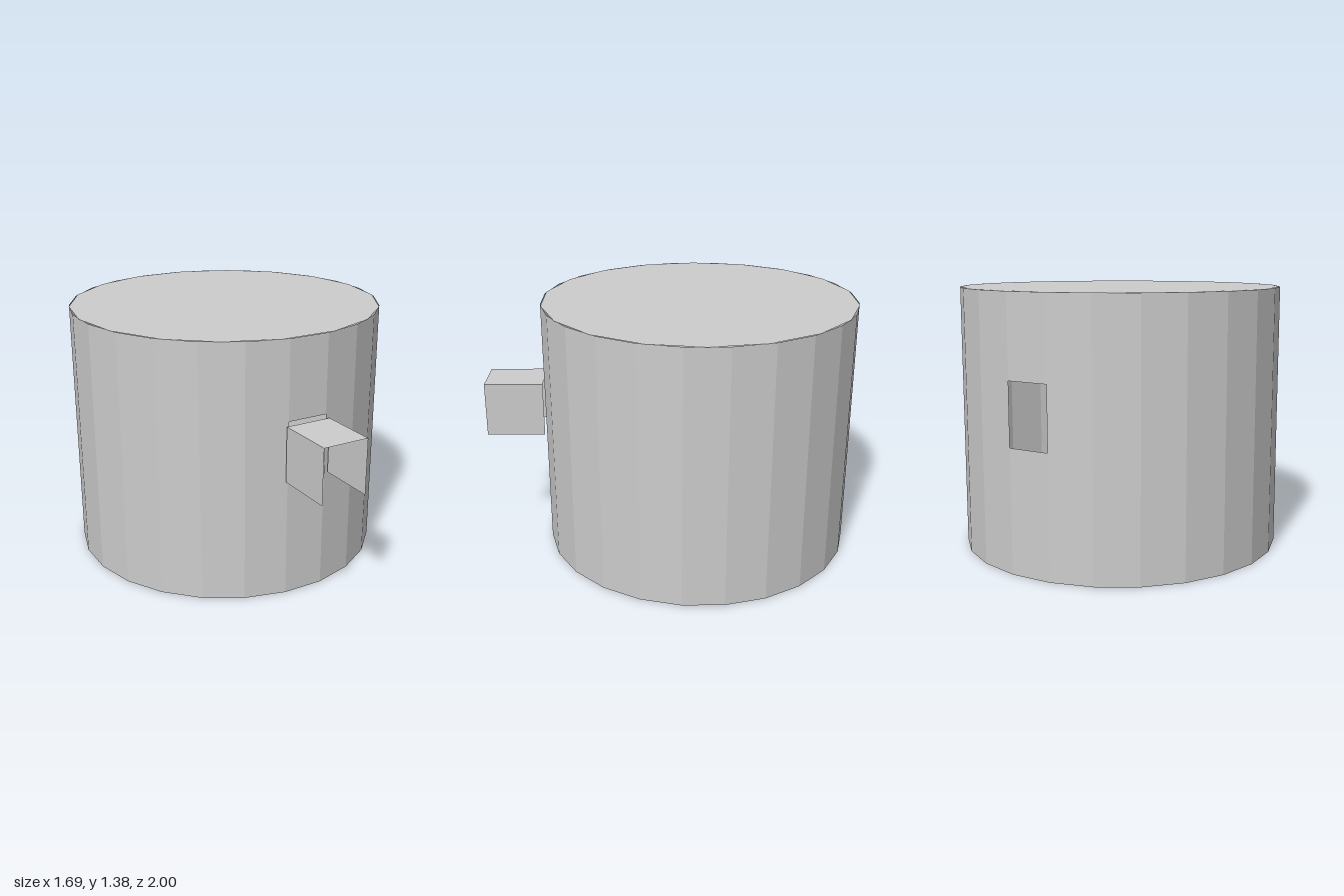
import * as THREE from 'three';
import { mergeGeometries } from 'three/addons/utils/BufferGeometryUtils.js';

const R = 0.845, HEIGHT = 1.375, CENTRE_Z = -0.162, SIDES = 24;
const APOTHEM = R * Math.cos(Math.PI / SIDES);
const PANEL_W = 2 * R * Math.sin(Math.PI / SIDES);
const HOLE_BOTTOM = 0.632, HOLE_TOP = 0.955;

export function createModel() {
  const group = new THREE.Group();
  const grey = new THREE.MeshStandardMaterial({ color: 0xcccccc, side: THREE.DoubleSide, flatShading: true });
  grey.name = 'plain grey';
  const add = (name, geometry) => {
    const mesh = new THREE.Mesh(geometry, grey);
    mesh.name = name;
    group.add(mesh);
    return mesh;
  };

  // One flat wall panel between two heights
  const panel = (i, y0, y1) => new THREE.PlaneGeometry(PANEL_W, y1 - y0)
    .translate(0, (y0 + y1) / 2, APOTHEM)
    .rotateY(i * 2 * Math.PI / SIDES)
    .translate(0, 0, CENTRE_Z);

  // Round wall, open below, with a window in the front and back panels
  const panels = [];
  for (let i = 0; i < SIDES; i++) {
    if (i % (SIDES / 2) === 0) {
      panels.push(panel(i, 0, HOLE_BOTTOM), panel(i, HOLE_TOP, HEIGHT));
    } else {
      panels.push(panel(i, 0, HEIGHT));
    }
  }
  add('wall', mergeGeometries(panels));

  // Flat roof with fewer sides than the wall
  add('roof', new THREE.CircleGeometry(R, 18).rotateX(-Math.PI / 2))
    .position.set(0, HEIGHT, CENTRE_Z);

  // Hood in front of the window: a top and two sides
  const hoodW = 0.252, hoodY0 = 0.64, hoodY1 = 0.935, hoodZ0 = 0.685, hoodZ1 = 1;
  const depth = hoodZ1 - hoodZ0, midZ = (hoodZ0 + hoodZ1) / 2;
  add('hoodTop', new THREE.PlaneGeometry(hoodW, depth).rotateX(-Math.PI / 2))
    .position.set(0, hoodY1, midZ);
  for (const [name, s] of [['hoodLeftSide', 1], ['hoodRightSide', -1]]) {
    add(name, new THREE.PlaneGeometry(depth, hoodY1 - hoodY0).rotateY(s * Math.PI / 2))
      .position.set(s * hoodW / 2, (hoodY0 + hoodY1) / 2, midZ);
  }

  return group;
}
